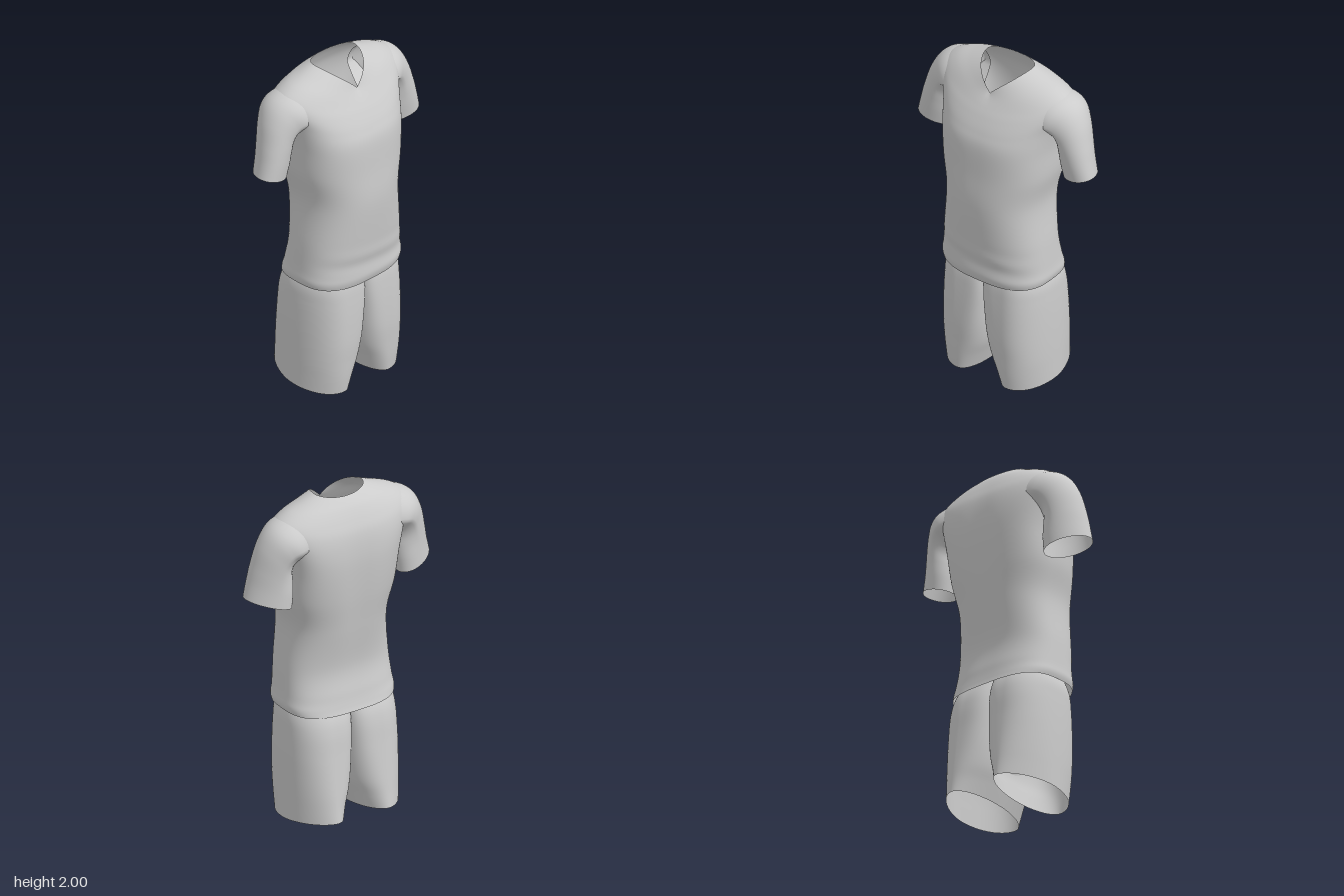
import * as THREE from 'three';

const material = new THREE.MeshStandardMaterial({ color: 0xcccccc, side: THREE.DoubleSide });

// Smoothly interpolate rows of key numbers; t runs 0..1 over all rows
function sampleRows(rows, t) {
  const f = t * (rows.length - 1);
  const i = Math.min(Math.floor(f), rows.length - 2);
  const u = f - i;
  const at = k => rows[THREE.MathUtils.clamp(k, 0, rows.length - 1)];
  return rows[0].map((_, c) => {
    const p0 = at(i - 1)[c], p1 = at(i)[c], p2 = at(i + 1)[c], p3 = at(i + 2)[c];
    return p1 + 0.5 * u * (p2 - p0 + u * (2 * p0 - 5 * p1 + 4 * p2 - p3 + u * (3 * (p1 - p2) + p3 - p0)));
  });
}

// Skin a tube through closed rings; ringPoint(row, cos, sin) gives one point,
// skip(points) may leave a face out
function loft(name, rows, ringPoint, { steps = 60, sides = 96, skip = () => false } = {}) {
  const points = [], index = [];
  for (let i = 0; i <= steps; i++) {
    const row = sampleRows(rows, i / steps);
    for (let j = 0; j < sides; j++) {
      const a = (j / sides) * Math.PI * 2;
      points.push(new THREE.Vector3(...ringPoint(row, Math.cos(a), Math.sin(a))));
    }
  }
  for (let i = 0; i < steps; i++) {
    for (let j = 0; j < sides; j++) {
      const k = (j + 1) % sides;
      const a = i * sides + j, b = i * sides + k, c = a + sides, d = b + sides;
      if (!skip([points[a], points[b], points[c], points[d]])) index.push(a, c, b, b, c, d);
    }
  }
  const geometry = new THREE.BufferGeometry().setFromPoints(points);
  geometry.setIndex(index);
  geometry.computeVertexNormals();
  const mesh = new THREE.Mesh(geometry, material);
  mesh.name = name;
  return mesh;
}

// Superellipse and bump helpers
const bend = (v, n) => Math.sign(v) * Math.pow(Math.abs(v), 2 / n);
const bump = (v, centre, width) => Math.exp(-(((v - centre) / width) ** 2));

// Shirt body: side y, front y, back y, half width, front z, back z, middle z,
// front and back squareness, V-neck amount
const TORSO = [
  [0.695, 0.68, 0.685, 0.336, 0.256, -0.226, 0.02, 2.8, 3, 0],
  [0.73, 0.72, 0.72, 0.343, 0.266, -0.216, 0.02, 2.7, 2.9, 0],
  [0.79, 0.79, 0.79, 0.337, 0.266, -0.203, 0.02, 2.6, 2.7, 0],
  [0.95, 0.95, 0.95, 0.325, 0.282, -0.182, 0.02, 2.5, 2.5, 0],
  [1.2, 1.2, 1.2, 0.302, 0.303, -0.22, 0.02, 2.4, 2.5, 0],
  [1.4, 1.4, 1.4, 0.335, 0.295, -0.25, 0, 2.5, 2.7, 0],
  [1.58, 1.58, 1.58, 0.345, 0.286, -0.265, -0.01, 2.6, 3.1, 0],
  [1.72, 1.67, 1.7, 0.37, 0.26, -0.264, -0.03, 2.4, 3.1, 0],
  [1.82, 1.75, 1.8, 0.41, 0.222, -0.25, -0.04, 2.1, 2.6, 0],
  [1.88, 1.8, 1.87, 0.41, 0.192, -0.222, -0.04, 1.9, 2.3, 0.1],
  [1.93, 1.835, 1.93, 0.34, 0.167, -0.187, -0.04, 1.9, 2.1, 0.4],
  [1.968, 1.855, 1.965, 0.24, 0.15, -0.155, -0.04, 1.85, 2, 0.8],
  [2.0, 1.867, 1.985, 0.155, 0.14, -0.13, -0.04, 1.8, 2, 1],
];

function torsoPoint([ySide, yFront, yBack, w, zf, zb, zc, nFront, nBack, v], c, s) {
  const front = s > 0;
  const n = front ? nFront : nBack;
  const drop = THREE.MathUtils.lerp(s * s, front ? 1 - Math.abs(c) : s * s, v);
  const y = ySide + ((front ? yFront : yBack) - ySide) * drop;
  const x = w * bend(c, n);
  // Soft cloth folds above the front hem, a shallow groove down the spine
  const relief = front
    ? 0.0035 * bump(y, 0.83, 0.09) * Math.sin(y * 45 + x * 5) * s
    : 0.01 * bump(x, 0, 0.08) * bump(y, 1.45, 0.35);
  return [x, y, zc + bend(s, n) * (front ? zf - zc : zc - zb) + relief];
}

// Sleeve, hem to shoulder: inner x, inner y, outer x, outer y, front z, back z,
// forward lean of the outer edge, narrowing toward the armpit
const SLEEVE = [
  [0.355, 1.395, 0.595, 1.462, 0.05, -0.16, 0.04, 0],
  [0.345, 1.48, 0.574, 1.55, 0.06, -0.163, 0.035, 0],
  [0.34, 1.55, 0.552, 1.645, 0.068, -0.168, 0.025, 0.1],
  [0.335, 1.59, 0.517, 1.765, 0.077, -0.18, 0.01, 0.3],
  [0.32, 1.61, 0.465, 1.855, 0.093, -0.2, 0, 0.5],
  [0.285, 1.61, 0.392, 1.902, 0.115, -0.215, 0, 0.6],
  [0.235, 1.61, 0.28, 1.925, 0.12, -0.205, 0, 0.6],
];

function sleevePoint([xi, yi, xo, yo, zf, zb, lean, narrow], c, s) {
  const t = (1 + c) / 2;
  const depth = ((zf - zb) / 2) * (1 + narrow * Math.min(c, 0));
  return [xi + (xo - xi) * t, yi + (yo - yi) * t, (zf + zb) / 2 + s * depth + lean * c];
}

// Shorts leg: middle y, hem tilt, inner x, crest x, outer x, front z, back z,
// squareness of the inner front, inner back, outer front and outer back quarters
const LEG = [
  [0.032, 0.115, 0.055, 0.168, 0.345, 0.22, -0.3, 2, 2, 2, 1.7],
  [0.12, 0.09, 0.028, 0.166, 0.346, 0.232, -0.288, 2.3, 2.1, 2.1, 1.8],
  [0.21, 0.06, 0.002, 0.164, 0.347, 0.24, -0.278, 2.8, 2.3, 2.2, 1.9],
  [0.32, 0.03, -0.01, 0.162, 0.347, 0.248, -0.265, 3.4, 2.6, 2.2, 2],
  [0.45, 0, -0.014, 0.16, 0.345, 0.248, -0.25, 4.2, 3, 2.2, 2.1],
  [0.58, 0, -0.017, 0.158, 0.34, 0.243, -0.235, 5, 3.3, 2.2, 2.1],
  [0.67, 0, -0.018, 0.155, 0.331, 0.235, -0.212, 5, 3.4, 2.2, 2],
  [0.76, 0, -0.02, 0.15, 0.3, 0.215, -0.165, 5, 3.4, 2.1, 2],
];

function legPoint([y, tilt, xi, xc, xo, zf, zb, inFront, inBack, outFront, outBack], c, s) {
  const n = c < 0 ? (s > 0 ? inFront : inBack) : (s > 0 ? outFront : outBack);
  const z = -0.03 + bend(s, n) * (s > 0 ? zf + 0.03 : -0.03 - zb);
  return [xc + bend(c, n) * (c > 0 ? xo - xc : xc - xi), y - tilt * (z + 0.03), z];
}

export function createModel() {
  const model = new THREE.Group();
  model.name = 'shirtAndShorts';

  model.add(loft('shirtBody', TORSO, torsoPoint, { steps: 96 }));

  for (const side of [1, -1]) {
    const half = new THREE.Group();
    half.name = side > 0 ? 'leftHalf' : 'rightHalf';
    half.scale.x = side;
    half.add(loft('sleeve', SLEEVE, sleevePoint, { steps: 48, sides: 64 }));
    // The inner wall stops at the crotch, where the legs join
    half.add(loft('shortsLeg', LEG, legPoint, {
      steps: 56,
      skip: q => q.every(p => p.x < 0 && p.y > 0.42),
    }));
    model.add(half);
  }
  return model;
}
